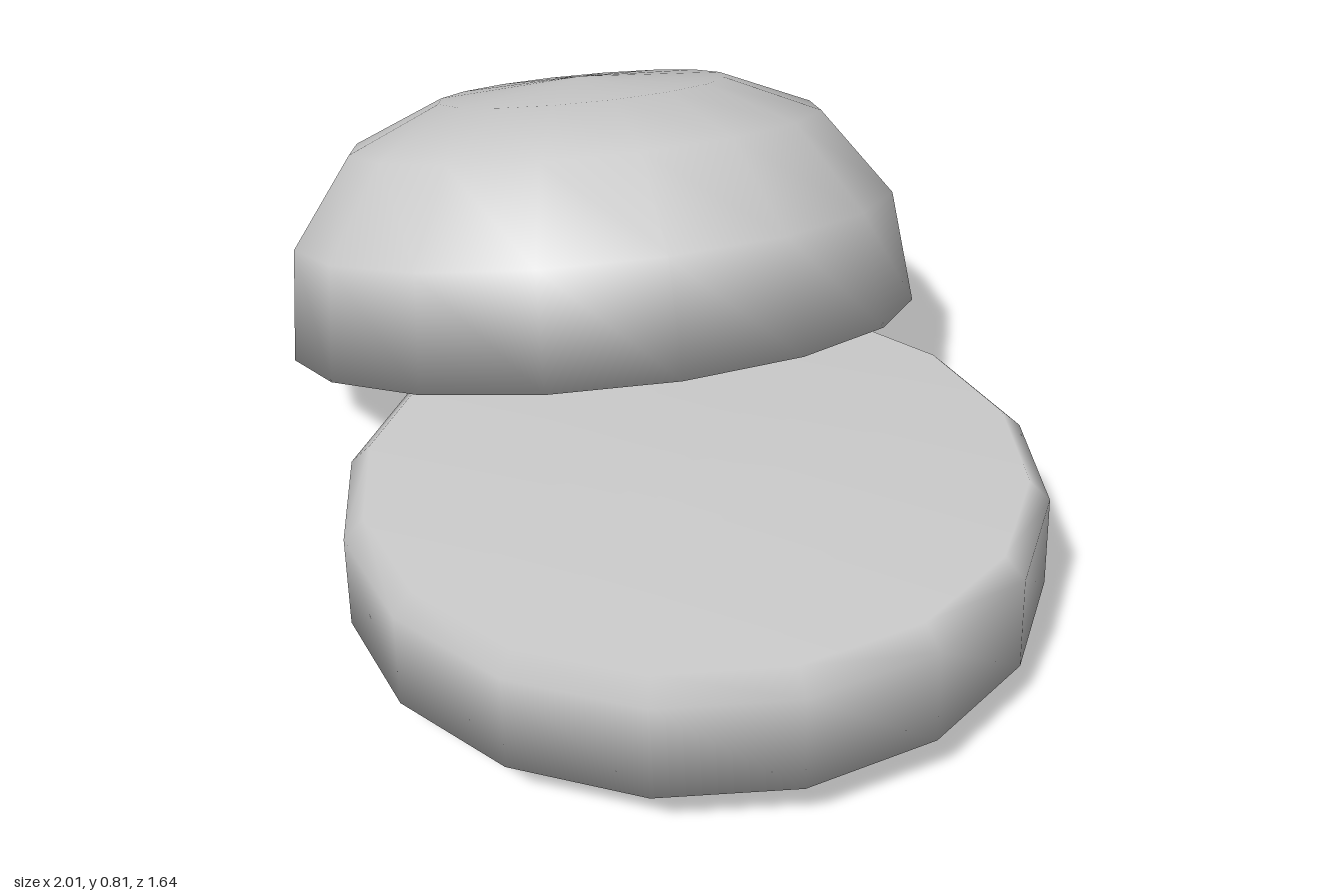
import * as THREE from 'three';

const SIDES = 16;

// Closed, smooth round slab turned from a [radius, height] profile, bottom to top
function makeHalf(name, profile, position, up) {
  const points = profile.map(([r, y]) => new THREE.Vector2(r, y));
  const geometry = new THREE.LatheGeometry(points, SIDES);
  geometry.rotateY(-0.04);
  const mesh = new THREE.Mesh(geometry, new THREE.MeshStandardMaterial({ color: 0xcccccc }));
  mesh.name = name;
  mesh.position.set(...position);
  mesh.quaternion.setFromUnitVectors(new THREE.Vector3(0, 1, 0), new THREE.Vector3(...up).normalize());
  return mesh;
}

export function createModel() {
  const group = new THREE.Group();
  group.name = 'slicedBun';

  // Flat lower half with a softened top edge, nearly level
  group.add(makeHalf('bunBottom',
    [[0, 0], [0.673, 0], [0.67, 0.19], [0.63, 0.23], [0, 0.235]],
    [0.32, 0.09, 0.145], [-0.037, 1, 0]));

  // Domed upper half, leaning over the edge of the lower one
  group.add(makeHalf('bunTop',
    [[0, 0], [0.675, 0], [0.648, 0.235], [0.51, 0.42], [0.31, 0.505], [0, 0.53]],
    [-0.33, 0.23, -0.15], [-0.33, 1, -0.15]));

  return group;
}
